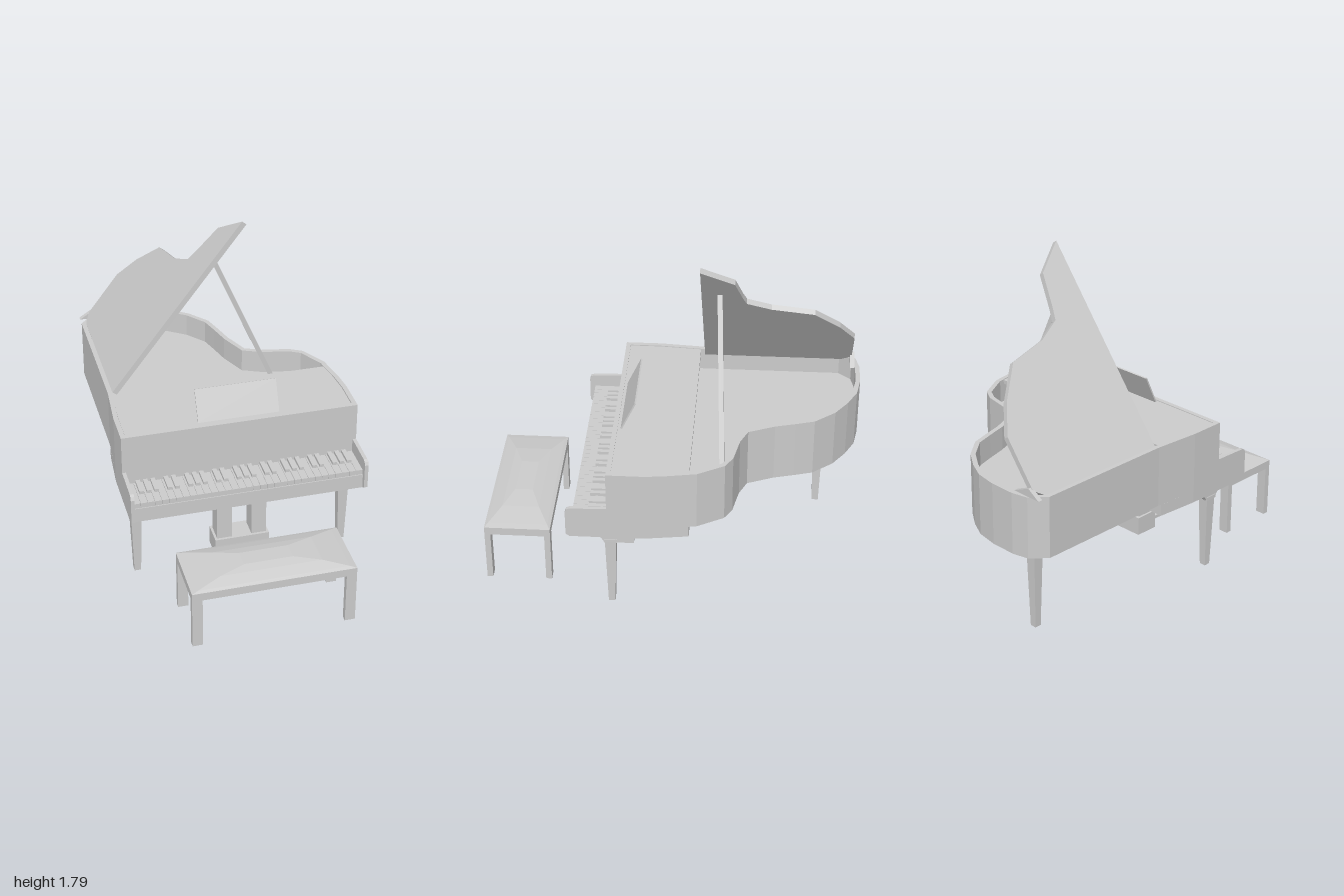
import * as THREE from 'three';

const grey = new THREE.MeshStandardMaterial({ color: 0xcccccc, flatShading: true, side: THREE.DoubleSide });

export function createModel() {
  const root = new THREE.Group();

  const add = (name, geo, parent = root) => {
    const m = new THREE.Mesh(geo, grey);
    m.name = name;
    parent.add(m);
    return m;
  };
  const group = (name) => {
    const g = new THREE.Group();
    g.name = name;
    root.add(g);
    return g;
  };
  // Box given by its min and max on each axis
  const box = (name, x0, x1, y0, y1, z0, z1, parent) => {
    const m = add(name, new THREE.BoxGeometry(x1 - x0, y1 - y0, z1 - z0), parent);
    m.position.set((x0 + x1) / 2, (y0 + y1) / 2, (z0 + z1) / 2);
    return m;
  };
  // Horizontal slab from [x, z] points, with an optional hole
  const flat = (pts) => pts.map(([x, z]) => new THREE.Vector2(x, -z));
  const slab = (pts, y0, y1, hole) => {
    const shape = new THREE.Shape(flat(pts));
    if (hole) shape.holes.push(new THREE.Path(flat(hole)));
    return new THREE.ExtrudeGeometry(shape, { depth: y1 - y0, bevelEnabled: false })
      .rotateX(-Math.PI / 2).translate(0, y0, 0);
  };
  // Move every edge of an outline inwards by d
  const inset = (pts, d) => pts.map((p, i) => {
    const a = pts[(i + pts.length - 1) % pts.length], b = pts[(i + 1) % pts.length];
    const n = (s, e) => new THREE.Vector2(-(e[1] - s[1]), e[0] - s[0]).normalize();
    const n1 = n(a, p), n2 = n(p, b), m = n1.clone().add(n2);
    m.multiplyScalar(2 * d / m.lengthSq());
    return [p[0] + m.x, p[1] + m.y];
  });

  // Case: curved rim, soundboard and flat front lid
  const outline = [
    [-0.64, 0.315], [-0.64, 0.12], [-0.62, -0.13], [-0.62, -0.9], [-0.55, -0.98], [-0.46, -1],
    [-0.32, -1], [-0.2, -0.98], [-0.1, -0.93], [0, -0.86], [0.09, -0.75], [0.12, -0.65],
    [0.15, -0.54], [0.21, -0.4], [0.3, -0.36], [0.45, -0.33], [0.52, -0.29], [0.6, -0.15],
    [0.63, 0.02], [0.64, 0.12], [0.64, 0.315]];
  const inner = inset(outline, 0.025);
  add('rim', slab(outline, 0.53, 0.865, inner));
  add('soundboard', slab(inner, 0.53, 0.735));
  add('frontLid', slab([[-0.613, 0.29], [-0.613, 0.12], [-0.597, -0.11], [0.59, -0.11],
    [0.613, 0.12], [0.613, 0.29]], 0.84, 0.861));
  add('keybed', slab([[-0.64, 0.505], [-0.64, 0.12], [-0.622, -0.11], [0.605, -0.11],
    [0.638, 0.12], [0.64, 0.505]], 0.465, 0.53));

  // Cheeks at both ends of the keyboard
  const cheek = new THREE.Shape([[0.31, 0.465], [0.51, 0.465], [0.53, 0.48], [0.53, 0.62],
    [0.522, 0.638], [0.505, 0.645], [0.31, 0.65]].map(([z, y]) => new THREE.Vector2(-z, y)));
  for (const s of [-1, 1]) {
    const geo = new THREE.ExtrudeGeometry(cheek, { depth: 0.02, bevelEnabled: false })
      .rotateY(Math.PI / 2).translate(s * 0.63 - 0.01, 0, 0);
    add('cheek', geo);
  }

  // Keyboard
  const keys = group('keyboard');
  box('keySlip', -0.62, 0.62, 0.53, 0.547, 0.315, 0.505, keys);
  const kw = 1.24 / 33;
  for (let i = 0; i < 33; i++) {
    const x = -0.62 + i * kw;
    box('whiteKey', x + 0.0008, x + kw - 0.0008, 0.547, 0.575, 0.315, 0.5, keys);
  }
  const black = (x) => box('blackKey', x - 0.012, x + 0.012, 0.575, 0.592, 0.315, 0.42, keys);
  for (let i = 0; i < 5; i++) {
    const c = -0.52 + i * 0.2625;
    [-0.04, 0, 0.04].forEach((d) => black(c + d));
    if (i < 4) [-0.02, 0.02].forEach((d) => black(c + 0.131 + d));
  }

  // Raised lid, drawn flat and then tilted about its hinge
  const lid = add('raisedLid', slab([[-0.025, -0.135], [1.149, -0.135], [1.01, -0.31], [0.83, -0.35],
    [0.76, -0.37], [0.69, -0.5], [0.635, -0.73], [0.465, -0.87], [0.305, -0.957], [0.02, -0.957],
    [-0.025, -0.9]], 0, 0.03));
  lid.position.set(-0.555, 0.865, 0);
  lid.rotation.z = 0.915;
  const tail = new THREE.Shape([[-0.62, 0.865], [-0.45, 0.865], [-0.55, 0.91]].map((p) => new THREE.Vector2(...p)));
  add('tailWedge', new THREE.ExtrudeGeometry(tail, { depth: 0.025, bevelEnabled: false }).translate(0, 0, -0.972));

  // Prop stick
  const p0 = new THREE.Vector3(0.335, 0.735, -0.268), p1 = new THREE.Vector3(-0.018, 1.56, -0.232);
  const prop = add('propStick', new THREE.BoxGeometry(0.026, p0.distanceTo(p1), 0.026));
  prop.position.copy(p0).add(p1).multiplyScalar(0.5);
  prop.quaternion.setFromUnitVectors(new THREE.Vector3(0, 1, 0), p1.clone().sub(p0).normalize());

  // Music desk
  const desk = add('musicDesk', new THREE.BoxGeometry(0.44, 0.178, 0.008));
  desk.position.set(0, 0.945, 0.232);
  desk.rotation.x = -0.44;

  // Tapered legs with a collar and a bracket under the case
  const leg = (x, z, top, turn) => {
    const g = group('leg');
    g.position.set(x, 0, z);
    g.rotation.y = turn;
    const shaft = new THREE.CylinderGeometry(0.03 * Math.SQRT2, 0.018 * Math.SQRT2, top - 0.045, 4)
      .rotateY(Math.PI / 4);
    add('legShaft', shaft, g).position.y = (top - 0.045) / 2;
    box('legCollar', -0.034, 0.034, top - 0.058, top - 0.038, -0.034, 0.034, g);
    const bracket = new THREE.Shape([[-0.09, 0], [-0.09, -0.018], [-0.05, -0.03], [-0.032, -0.06],
      [0.032, -0.06], [0.05, -0.03], [0.09, -0.018], [0.09, 0]].map((p) => new THREE.Vector2(...p)));
    add('legBracket', new THREE.ExtrudeGeometry(bracket, { depth: 0.06, bevelEnabled: false })
      .translate(0, top, -0.03), g);
  };
  leg(-0.575, 0.3, 0.465, Math.PI / 2);
  leg(0.575, 0.3, 0.465, Math.PI / 2);
  leg(-0.39, -0.79, 0.53, 0);

  // Pedal lyre
  const lyre = group('pedalLyre');
  box('pedalBox', -0.15, 0.15, 0.04, 0.145, 0.22, 0.355, lyre);
  for (const s of [-1, 1]) box('lyrePost', s * 0.096 - 0.041, s * 0.096 + 0.041, 0.145, 0.465, 0.238, 0.34, lyre);
  for (const x of [-0.095, 0, 0.095]) {
    const w = x ? 0.024 : 0.016;
    box('pedal', x - w, x + w, 0.068, 0.088, 0.35, 0.52, lyre);
  }

  // Bench with a domed seat
  const bench = group('bench');
  box('benchFrame', -0.435, 0.435, 0.29, 0.335, 0.645, 1, bench);
  for (const x of [-0.4075, 0.4075]) for (const z of [0.661, 0.984])
    box('benchLeg', x - 0.0275, x + 0.0275, 0, 0.29, z - 0.016, z + 0.016, bench);
  const rings = [[0.435, 0.1775, 0.335], [0.4, 0.16, 0.342], [0.27, 0.1, 0.362], [0.13, 0.048, 0.373]];
  const pos = [], idx = [];
  rings.forEach(([a, b, y], r) => {
    pos.push(-a, y, b, a, y, b, a, y, -b, -a, y, -b);
    if (r) for (let k = 0; k < 4; k++) {
      const n = (k + 1) % 4, lo = r * 4 - 4, hi = r * 4;
      idx.push(lo + k, lo + n, hi + n, lo + k, hi + n, hi + k);
    }
  });
  idx.push(12, 13, 14, 12, 14, 15);
  const dome = new THREE.BufferGeometry();
  dome.setAttribute('position', new THREE.Float32BufferAttribute(pos, 3));
  dome.setIndex(idx);
  dome.computeVertexNormals();
  add('seatCushion', dome, bench).position.z = 0.8225;

  return root;
}
